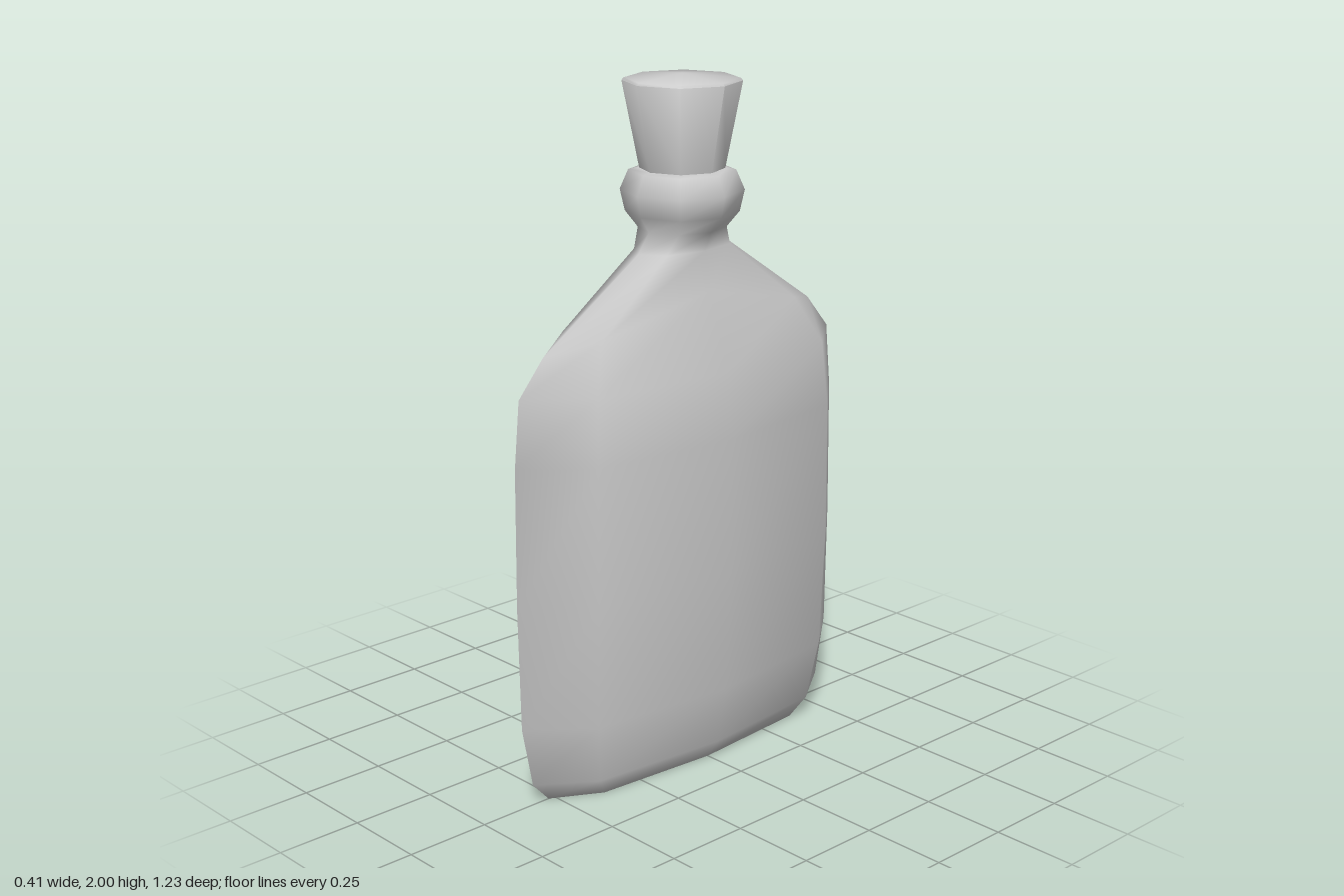
import * as THREE from 'three';
import { toCreasedNormals } from 'three/addons/utils/BufferGeometryUtils.js';

const SIDES = 8;

// Skins eight-sided rings [halfX, halfZ, y at the broad faces, y at the narrow edges] with closed ends
function loftRings(rings) {
  const positions = [], indices = [];
  rings.forEach(([hx, hz, yFace, yEdge = yFace]) => {
    for (let j = 0; j < SIDES; j++) {
      const a = (j / SIDES) * Math.PI * 2;
      const t = Math.abs(Math.cos(a)); // 1 at the narrow edges, 0 at the broad faces
      const k = j % 2 ? 1.03 : 1;
      positions.push(hx * k * Math.sin(a), yFace + (yEdge - yFace) * t, hz * k * Math.cos(a));
    }
  });
  const last = rings.length - 1;
  for (let i = 0; i < last; i++) {
    for (let j = 0; j < SIDES; j++) {
      const n = (j + 1) % SIDES;
      const a = i * SIDES + j, b = i * SIDES + n;
      indices.push(a, b, b + SIDES, a, b + SIDES, a + SIDES);
    }
  }
  // End caps
  const bottom = positions.length / 3;
  positions.push(0, rings[0][2], 0, 0, rings[last][2], 0);
  for (let j = 0; j < SIDES; j++) {
    const n = (j + 1) % SIDES;
    indices.push(bottom, n, j, bottom + 1, last * SIDES + j, last * SIDES + n);
  }
  const geometry = new THREE.BufferGeometry();
  geometry.setAttribute('position', new THREE.Float32BufferAttribute(positions, 3));
  geometry.setIndex(indices);
  geometry.computeVertexNormals();
  return geometry;
}

export function createModel() {
  const group = new THREE.Group();
  const material = new THREE.MeshStandardMaterial({ color: 0xcccccc });

  // Flat flask body, sloping shoulders, neck and rolled lip
  const flask = new THREE.Mesh(loftRings([
    [0.11, 0.52, 0],
    [0.15, 0.575, 0.06],
    [0.185, 0.61, 0.24],
    [0.203, 0.617, 0.6],
    [0.203, 0.613, 1.0],
    [0.185, 0.595, 1.19],
    [0.11, 0.51, 1.41, 1.29],
    [0.092, 0.165, 1.52],
    [0.115, 0.125, 1.575],
    [0.155, 0.155, 1.62],
    [0.168, 0.168, 1.68],
    [0.145, 0.145, 1.735],
    [0.12, 0.12, 1.74],
  ]), material);
  flask.name = 'flask';

  // Tapered stopper with a slightly domed top
  const profile = [[0.118, 1.735], [0.166, 1.98], [0.16, 1.987], [0, 2]]
    .map(([r, y]) => new THREE.Vector2(r, y));
  const stopper = new THREE.Mesh(
    toCreasedNormals(new THREE.LatheGeometry(profile, SIDES), 0.9), material);
  stopper.name = 'stopper';

  group.add(flask, stopper);
  return group;
}
